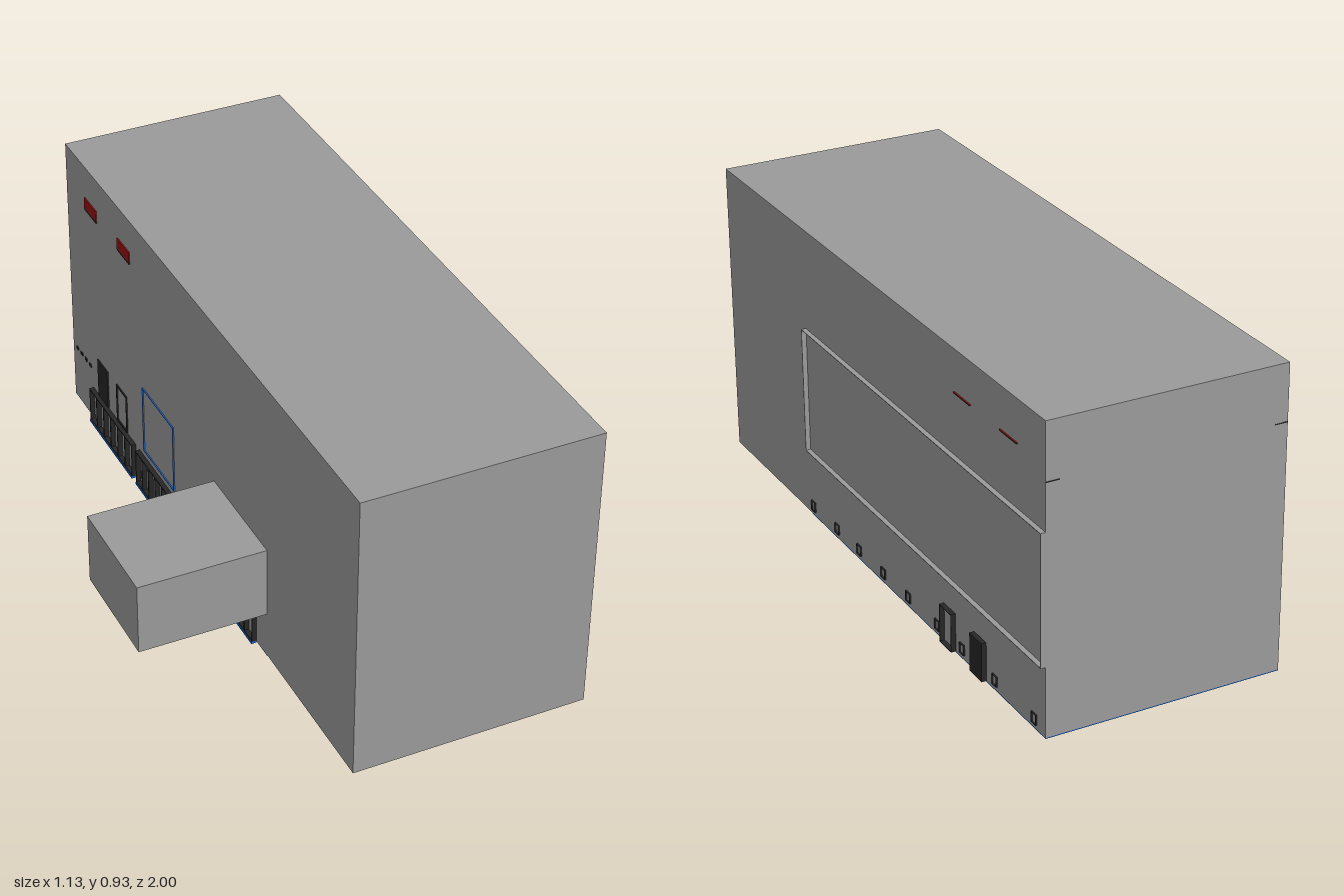
import * as THREE from 'three';

const mat = (color) => new THREE.MeshStandardMaterial({ color, side: THREE.DoubleSide });

export function createModel() {
  const model = new THREE.Group();
  const grey = mat(0x9a9a9a), blue = mat(0x1e66d2), dark = mat(0x262626), red = mat(0x9a1010);
  const L = -0.173, R = 0.55, base = 0.007, top = 0.928, t = 0.004;

  // Box given by its minimum and maximum corners
  function block(name, x0, x1, y0, y1, z0, z1, material = grey, parent = model) {
    const mesh = new THREE.Mesh(new THREE.BoxGeometry(x1 - x0, y1 - y0, z1 - z0), material);
    mesh.position.set((x0 + x1) / 2, (y0 + y1) / 2, (z0 + z1) / 2);
    mesh.name = name;
    parent.add(mesh);
  }

  // Open rectangular rim standing out from a side wall
  function rim(name, x0, x1, y0, y1, z0, z1, w, material) {
    const g = new THREE.Group();
    g.name = name;
    block('rimBottom', x0, x1, y0, y0 + w, z0, z1, material, g);
    block('rimTop', x0, x1, y1 - w, y1, z0, z1, material, g);
    block('rimBack', x0, x1, y0 + w, y1 - w, z0, z0 + w, material, g);
    block('rimFront', x0, x1, y0 + w, y1 - w, z1 - w, z1, material, g);
    model.add(g);
  }

  // Hall shell, open underneath at the stage end
  block('roof', L, R, top - t, top, -1, 1);
  block('frontWall', L, R, base, top - t, 1 - t, 1);
  block('backWall', L, R, base, top - t, -1, -1 + t);
  block('rightWall', L, L + t, base, top - t, -1 + t, 1 - t);
  block('leftWall', R - t, R, base, top - t, -1 + t, 1 - t);

  // Main floor and raised stage
  block('floor', L, R, 0.004, base, -1, 0.45, blue);
  block('stageFloor', L + t, R - t, 0.14, 0.144, 0.45, 1 - t, blue);
  block('stageFront', L + t, R - t, base, 0.14, 0.446, 0.45, blue);

  // Marked outlines under the floor
  function outline(x0, x1, z0, z1) {
    const g = new THREE.Group();
    g.name = 'floorOutline';
    const w = 0.004, y = 0.002;
    block('outlineEdge', x0, x1, y, 0.004, z0, z0 + w, dark, g);
    block('outlineEdge', x0, x1, y, 0.004, z1 - w, z1, dark, g);
    block('outlineEdge', x0, x0 + w, y, 0.004, z0 + w, z1 - w, dark, g);
    block('outlineEdge', x1 - w, x1, y, 0.004, z0 + w, z1 - w, dark, g);
    model.add(g);
  }
  outline(-0.01, 0.41, 0.07, 0.2);
  outline(-0.01, 0.41, 0.2, 0.33);
  outline(0, 0.45, -0.56, -0.3);

  // Side room
  block('sideRoom', -0.567, L, 0.155, 0.384, 0.09, 0.448);

  // Long shallow gallery surround and entrances on the left wall
  rim('galleryRim', R, 0.565, 0.22, 0.615, -1, 0.448, 0.002, grey);
  block('leftDoor', R, 0.565, base, 0.126, -0.67, -0.6, dark);
  rim('leftDoorFrame', R, 0.565, base, 0.126, -0.49, -0.42, 0.002, dark);
  for (const z of [0.435, 0.27, 0.12, -0.04, -0.2, -0.38, -0.53, -0.72, -0.94])
    rim('wallSocket', R, R + 0.005, 0.02, 0.052, z - 0.013, z + 0.013, 0.0015, dark);

  // High brackets on both side walls
  for (const z of [-0.805, -0.55]) {
    block('leftBracket', R, R + 0.004, 0.8, 0.803, z - 0.046, z + 0.046, dark);
    block('leftBracketTop', R, R + 0.004, 0.803, 0.804, z - 0.046, z + 0.046, red);
    block('rightBracket', L - 0.004, L, 0.785, 0.82, z - 0.045, z + 0.045, red);
    block('rightBracketBase', L - 0.004, L, 0.778, 0.785, z - 0.045, z + 0.045, dark);
  }

  // Small ledges high on the back wall corners
  for (const x of [L, R - 0.04])
    block('backLedge', x, x + 0.04, 0.755, 0.758, -1.001, -1, dark);

  // Rows of doorways along the right wall, with thresholds
  for (const [z0, z1, bays] of [[-0.84, -0.5, 6], [-0.47, -0.22, 5], [0.05, 0.38, 6]]) {
    rim('doorwayRow', -0.188, L, base, 0.126, z0, z1, 0.004, dark);
    for (let i = 1; i < bays; i++) {
      const z = z0 + ((z1 - z0) * i) / bays;
      block('doorwayDivider', -0.188, L, base + 0.004, 0.122, z - 0.003, z + 0.003, dark);
    }
    block('threshold', -0.19, L, 0, base, z0, z1, blue);
  }
  block('rightDoor', -0.188, L, base, 0.126, -0.14, -0.06, dark);

  // Upper openings on the right wall
  block('upperDoor', L - 0.004, L, 0.13, 0.265, -0.79, -0.71, dark);
  rim('upperDoorFrame', L - 0.004, L, 0.13, 0.265, -0.64, -0.56, 0.005, dark);
  rim('upperWindow', L - 0.004, L, 0.15, 0.383, -0.43, -0.2, 0.003, blue);
  for (let i = 0; i < 4; i++)
    block('wallHook', L - 0.003, L, 0.196, 0.206, -0.97 + i * 0.035, -0.955 + i * 0.035, dark);

  return model;
}
